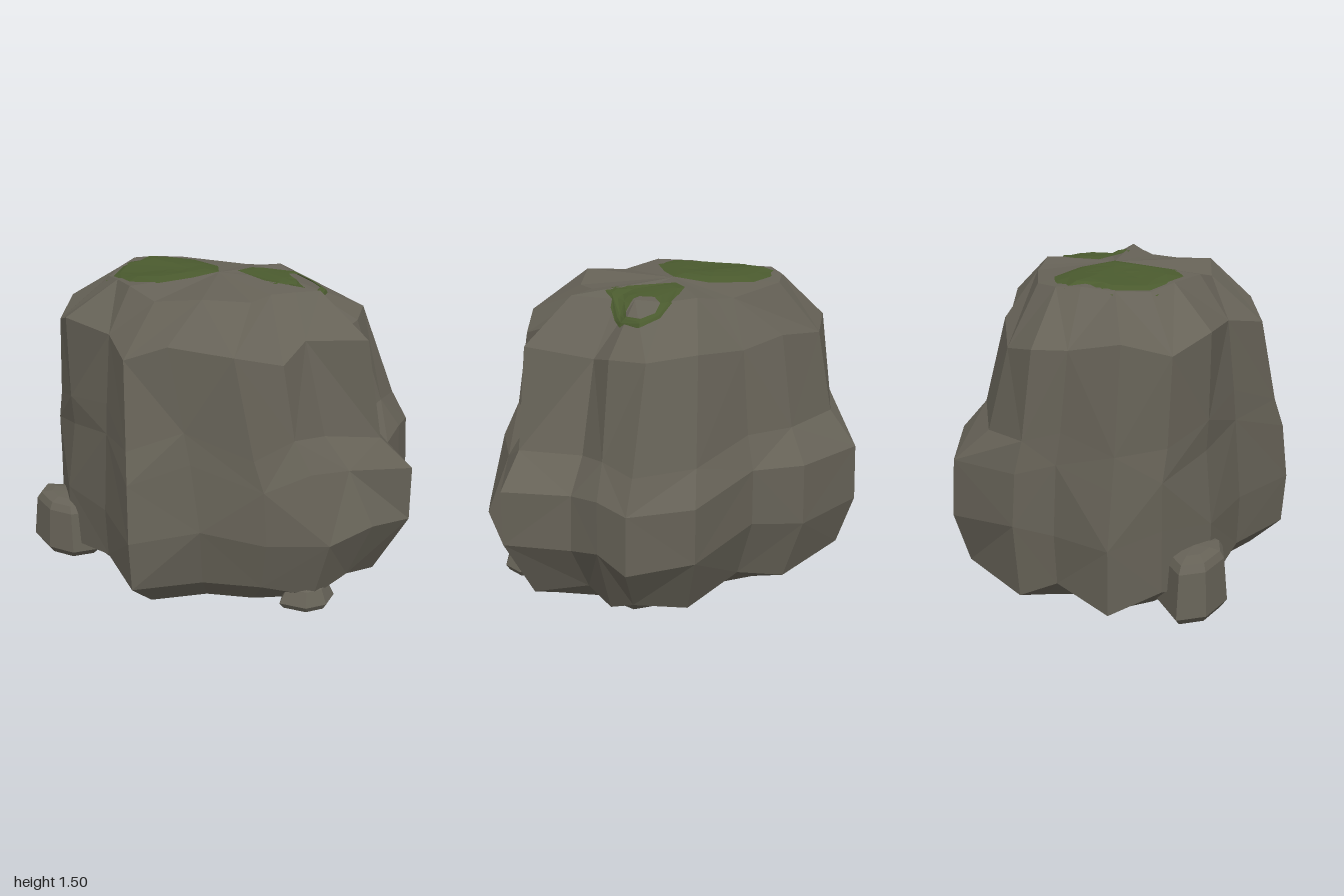
import * as THREE from 'three';

const material = (color) => new THREE.MeshStandardMaterial({ color, flatShading: true, roughness: 1, side: THREE.DoubleSide });
const rockMaterial = material(0x666257);
const mossMaterial = material(0x4a5a2e);

// Joins equal-length loops (bottom to top, counterclockwise from above); optional end points close it.
function loft(name, rings, mat, bottom, top) {
  const n = rings[0].length, last = rings.length - 1;
  const points = rings.flat(), index = [];
  for (let r = 0; r < last; r++) {
    for (let i = 0; i < n; i++) {
      const j = (i + 1) % n;
      const a = r * n + i, b = r * n + j, c = b + n, d = a + n;
      if ((i + r) % 2) index.push(a, b, c, a, c, d);
      else index.push(a, b, d, b, c, d);
    }
  }
  const cap = (centre, start, flip) => {
    const k = points.push(centre) - 1;
    for (let i = 0; i < n; i++) {
      const a = start + i, b = start + (i + 1) % n;
      index.push(flip ? b : a, flip ? a : b, k);
    }
  };
  if (bottom) cap(bottom, 0, true);
  if (top) cap(top, last * n, false);
  const geometry = new THREE.BufferGeometry();
  geometry.setAttribute('position', new THREE.Float32BufferAttribute(points.flat(), 3));
  geometry.setIndex(index);
  const flat = geometry.toNonIndexed();
  flat.computeVertexNormals();
  const mesh = new THREE.Mesh(flat, mat);
  mesh.name = name;
  return mesh;
}

function boulder() {
  // Widest outline, x and z, starting at the front ridge
  const girth = [
    [.05, .83], [.31, .62], [.59, .48], [.83, .31], [.94, .1], [1, -.17], [.77, -.4],
    [.74, -.58], [.7, -.75], [.38, -.83], [-.03, -.73], [-.3, -.79], [-.72, -.71],
    [-.91, -.37], [-.87, -.19], [-1, .08], [-.85, .3], [-.62, .5], [-.28, .61],
  ];
  // Shoulder, x y z
  const shoulder = [
    [-.07, 1.22, .68], [.13, 1.3, .61], [.43, 1.28, .52], [.57, 1.22, .33], [.57, 1.29, .14],
    [.79, 1.28, -.06], [.53, 1.22, -.24], [.55, 1.26, -.4], [.48, 1.28, -.59], [.22, 1.28, -.62],
    [-.08, 1.24, -.57], [-.35, 1.26, -.53], [-.68, 1.2, -.43], [-.84, 1.24, -.28],
    [-.83, 1.24, -.12], [-.88, 1.29, .12], [-.78, 1.22, .33], [-.6, 1.29, .48], [-.28, 1.27, .53],
  ];
  // Crown, x y z
  const crown = [
    [-.08, 1.44, .43], [.17, 1.48, .4], [.32, 1.45, .22], [.34, 1.46, .08], [.43, 1.47, .01],
    [.53, 1.48, -.05], [.33, 1.45, -.13], [.29, 1.46, -.22], [.2, 1.46, -.34], [.08, 1.48, -.42],
    [-.03, 1.46, -.42], [-.13, 1.45, -.42], [-.49, 1.46, -.33], [-.6, 1.47, -.22],
    [-.63, 1.48, -.1], [-.61, 1.46, .05], [-.55, 1.45, .2], [-.42, 1.47, .29], [-.26, 1.48, .39],
  ];
  // Ledge and the wall above it: heights, and how far each column leans from girth to shoulder
  const ledgeY = [.66, .76, .65, .72, .69, .65, .65, .68, .66, .65, .7, .68, .66, .68, .72, .65, .66, .73, .78];
  const ledgeLean = [.2, .3, .1, .4, .35, 0, .05, .05, .05, 0, .05, .05, .05, .15, .2, .33, 0, 1.6, .4];
  const wallLean = [.5, .5, .4, .75, .7, .67, .5, .45, .35, .42, .5, .55, .65, .5, .5, .54, .55, 1.2, .55];
  const leaning = (lean, height) => girth.map(([x, z], i) => {
    const [sx, , sz] = shoulder[i];
    return [x + (sx - x) * lean[i], height(i), z + (sz - z) * lean[i]];
  });

  const lower = girth.map(([x, z], i) => {
    const s = .92 + .075 * (z - x) - (i === 1 ? .04 : 0);
    return [x * s, i % 2 && i > 1 ? .07 : .13, z * s];
  });
  const foot = lower.map(([x, , z]) => [x * .82, 0, z * (z < 0 ? .75 : .81)]);
  const middle = girth.map(([x, z], i) => [x, i % 3 === 1 ? .43 : .38, z]);
  const ledge = leaning(ledgeLean, (i) => ledgeY[i]);
  const wall = leaning(wallLean, (i) => ledgeY[i] + .15);
  return loft('boulder', [foot, lower, middle, ledge, wall, shoulder, crown], rockMaterial, [0, 0, 0], [-.05, 1.49, -.05]);
}

// Small stone: one outline scaled at several heights
function pebble(name, [cx, cz], outline, levels) {
  const rings = levels.map(([y, s]) => outline.map(([x, z]) => [cx + (x - cx) * s, y, cz + (z - cz) * s]));
  return loft(name, rings, rockMaterial, [cx, 0, cz], [cx, levels.at(-1)[0] + .005, cz]);
}

// Moss draped over the rock, with an optional round opening
function moss(name, rock, [cx, cz], outline, opening) {
  const ray = new THREE.Raycaster(), down = new THREE.Vector3(0, -1, 0);
  const drape = (x, z, lift) => {
    ray.set(new THREE.Vector3(x, 3, z), down);
    return [x, ray.intersectObject(rock)[0].point.y + lift, z];
  };
  const rings = [1, .75, .5, .25, 0].map((t) => outline.map(([x, z]) => {
    const dx = x - cx, dz = z - cz, inner = opening / Math.hypot(dx, dz);
    const s = inner + (1 - inner) * t;
    return drape(cx + dx * s, cz + dz * s, t === 1 ? .003 : .014);
  }));
  return loft(name, rings, mossMaterial);
}

export function createModel() {
  const group = new THREE.Group();
  group.name = 'mossyBoulder';
  const rock = boulder();
  rock.updateMatrixWorld();
  group.add(rock);

  group.add(pebble('frontPebble', [-.7, .43],
    [[-.7, .59], [-.55, .57], [-.47, .46], [-.55, .32], [-.75, .27], [-.94, .38], [-.88, .51]],
    [[0, .82], [.04, 1], [.25, .88], [.285, .76], [.3, .45]]));
  group.add(pebble('sidePebble', [.67, .23],
    [[.6, .37], [.73, .34], [.79, .25], [.77, .14], [.68, .08], [.58, .14], [.56, .27]],
    [[0, .85], [.03, 1], [.1, .75], [.12, .5]]));

  group.add(moss('largeMossPatch', rock, [-.36, 0],
    [[-.32, .32], [-.18, .27], [-.1, .1], [-.05, -.05], [-.16, -.2], [-.37, -.28], [-.49, -.25],
      [-.62, -.18], [-.6, -.02], [-.63, .04], [-.55, .23], [-.42, .26]], .001));
  group.add(moss('smallMossPatch', rock, [.3, -.3],
    [[.2, -.06], [.29, -.03], [.35, -.06], [.39, -.2], [.41, -.27], [.38, -.39], [.28, -.41],
      [.19, -.37], [.02, -.24], [0, -.14]], .08));
  return group;
}
